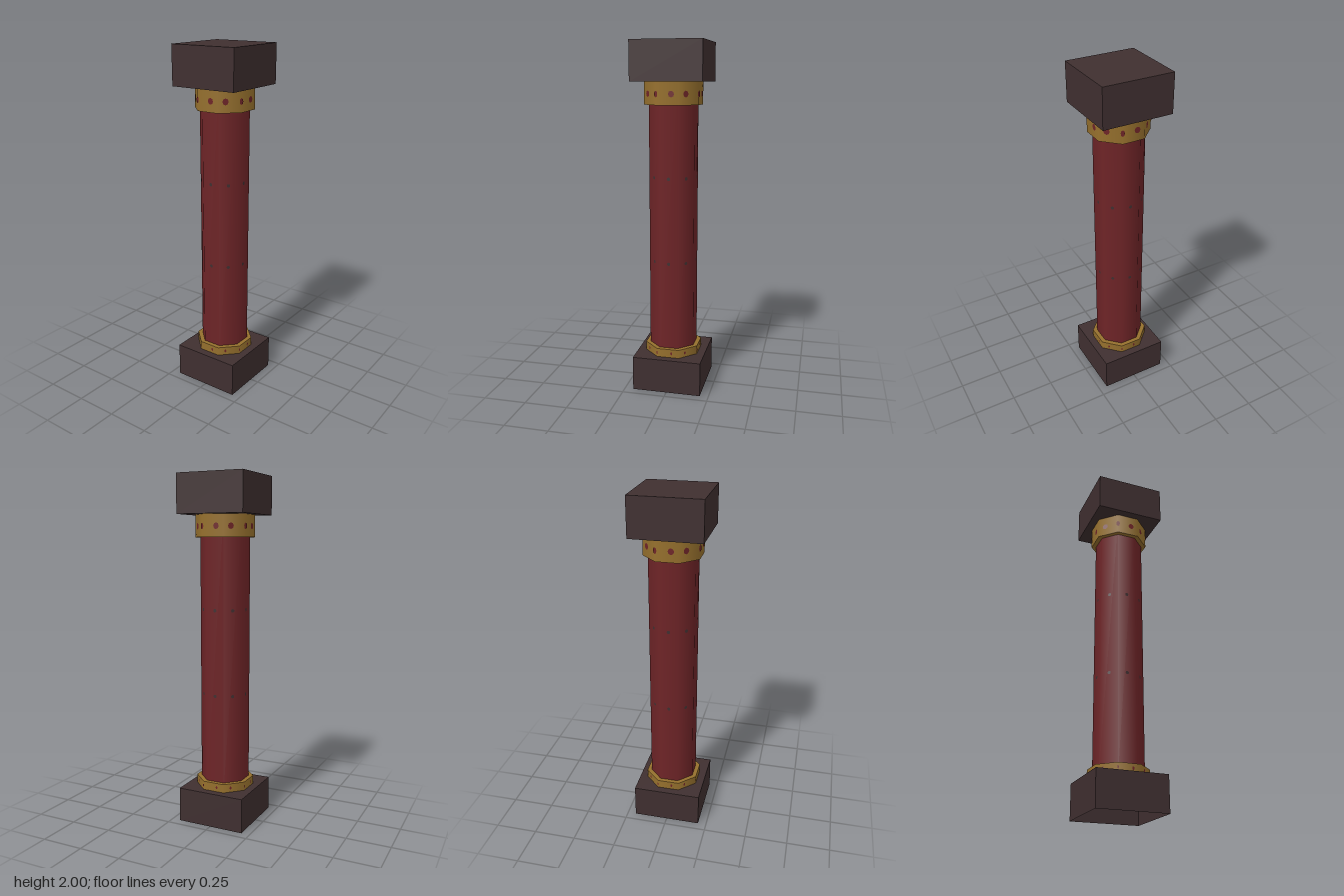
import * as THREE from 'three';

export function createModel() {
  const model = new THREE.Group();
  const material = (name, color) => {
    const m = new THREE.MeshStandardMaterial({ color, side: THREE.DoubleSide });
    m.name = name;
    return m;
  };
  const stone = material('dark stone', 0x3f2f30);
  const red = material('deep red', 0x6e2427);
  const gold = material('old gold', 0x96702d);

  const add = (name, geometry, mat, y) => {
    const mesh = new THREE.Mesh(geometry, mat);
    mesh.name = name;
    mesh.position.y = y;
    model.add(mesh);
    return mesh;
  };

  // Square base, hollow underneath: drop the bottom face of the box
  const base = new THREE.BoxGeometry(0.4, 0.2, 0.4);
  base.setIndex(Array.from(base.index.array).filter((_, i) => i < 18 || i >= 24));
  base.clearGroups();
  add('base', base, stone, 0.1);

  // Square cap block
  add('capBlock', new THREE.BoxGeometry(0.4, 0.22, 0.4), stone, 1.89);

  // Eight-sided drum between two heights, with one flat facing front
  const drum = (name, apothem, y0, y1, mat) => {
    const r = apothem / Math.cos(Math.PI / 8);
    const g = new THREE.CylinderGeometry(r, r, y1 - y0, 8, 1, false, Math.PI / 8);
    add(name, g, mat, (y0 + y1) / 2);
  };
  drum('shaft', 0.13, 0.2, 1.78, red);
  drum('lowerCollar', 0.155, 0.2, 0.25, gold);
  drum('upperCollar', 0.155, 1.655, 1.78, gold);

  // Small thin stud lying on the eight-sided surface at a given angle
  const stud = (name, apothem, degrees, y, w, h, mat) => {
    const a = THREE.MathUtils.degToRad(degrees);
    const flat = Math.round(degrees / 45) * Math.PI / 4;
    const onCorner = Math.abs(Math.abs(degrees % 45) - 22.5) < 1;
    const facing = onCorner ? a : flat;
    const r = apothem / Math.cos(a - flat) + 0.001;
    const mesh = add(name, new THREE.CircleGeometry(1, 8), mat, y);
    mesh.scale.set(onCorner ? w * 0.65 : w, h, 1);
    mesh.position.x = r * Math.sin(a);
    mesh.position.z = r * Math.cos(a);
    mesh.rotation.y = facing;
  };

  // Twelve red studs around each collar
  for (let i = 0; i < 12; i++) {
    const angle = 7.5 + i * 30;
    stud('upperCollarStud', 0.155, angle, 1.715, 0.017, 0.018, red);
    stud('lowerCollarStud', 0.155, angle, 0.225, 0.006, 0.01, red);
  }

  // Tiny dark studs on the flats of the shaft
  for (let i = 0; i < 8; i++) {
    for (const y of [0.76, 1.25]) stud('shaftStud', 0.13, i * 45, y, 0.01, 0.01, stone);
  }

  return model;
}
